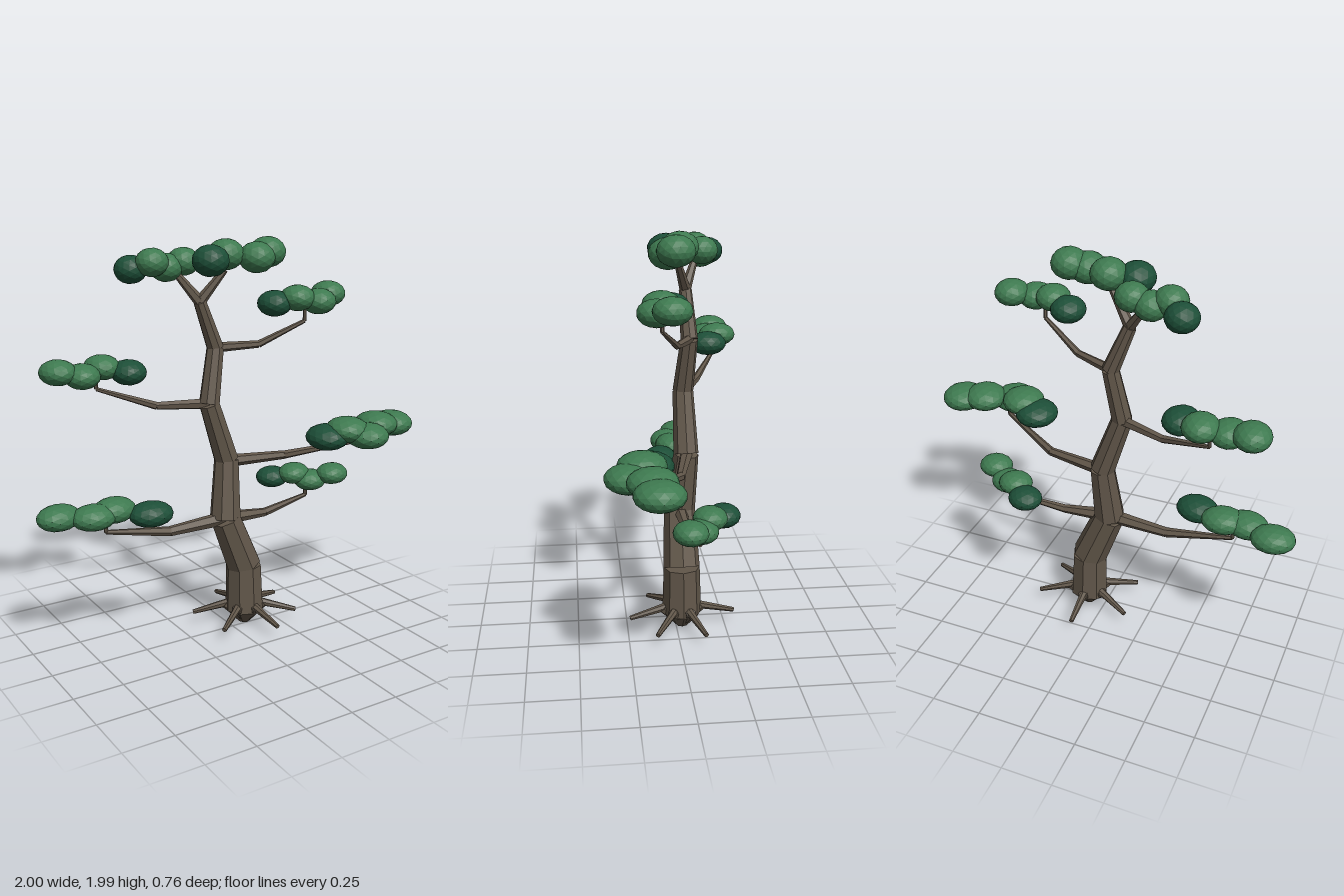
import * as THREE from 'three';

export function createModel() {
  const tree = new THREE.Group();
  tree.name = 'tree';
  const material = (name, color) => {
    const m = new THREE.MeshStandardMaterial({ color, flatShading: true });
    m.name = name;
    return m;
  };
  const bark = material('bark', 0x62574a);
  const leaf = material('leafGreen', 0x3e7a50);
  const darkLeaf = material('darkLeafGreen', 0x1d4f38);
  const up = new THREE.Vector3(0, 1, 0);

  // Tapered cylinder between two points
  function limb(parent, name, a, b, ra, rb, sides) {
    const start = new THREE.Vector3(...a), dir = new THREE.Vector3(...b).sub(start);
    const mesh = new THREE.Mesh(new THREE.CylinderGeometry(rb, ra, dir.length(), sides), bark);
    mesh.position.copy(start).addScaledVector(dir, 0.5);
    mesh.quaternion.setFromUnitVectors(up, dir.normalize());
    mesh.name = name;
    parent.add(mesh);
  }

  // Chain of limbs; each point is [x, y, z, radius]
  function chain(name, pts, sides) {
    const g = new THREE.Group();
    g.name = name;
    for (let i = 0; i < pts.length - 1; i++) {
      const a = pts[i], b = pts[i + 1];
      limb(g, name + 'Segment', a.slice(0, 3), b.slice(0, 3), a[3], b[3], sides);
    }
    tree.add(g);
  }

  // Trunk, bending from side to side
  chain('trunk', [
    [0.09, 0.08, -0.03, 0.1], [0.085, 0.325, -0.03, 0.092], [-0.025, 0.6, -0.03, 0.08],
    [0, 0.9, -0.06, 0.063], [-0.1, 1.2, -0.055, 0.052], [-0.05, 1.47, -0.08, 0.043],
    [-0.14, 1.7, -0.07, 0.032],
  ], 8);
  limb(tree, 'trunkFoot', [0.09, 0.005, -0.03], [0.09, 0.08, -0.03], 0.03, 0.1, 8);

  // Roots rising to a knee, then spreading outward
  for (const deg of [-21, 32, 83, 144, 204, 268]) {
    const c = Math.cos(deg * Math.PI / 180), s = Math.sin(deg * Math.PI / 180);
    const at = (r, y, radius) => [0.09 + c * r, y, -0.03 + s * r, radius];
    chain('root', [at(0.01, 0.02, 0.02), at(0.1, 0.11, 0.027)], 7);
    chain('root', [at(0.07, 0.115, 0.022), at(0.27, 0.068, 0.012)], 7);
  }

  // Branches, each ending in a short twig
  const branches = [
    ['lowerRightBranch', [-0.03, 0.6, -0.03, 0.036], [-0.34, 0.587, -0.04, 0.025], [-0.68, 0.65, -0.04, 0.011], 0.73],
    ['lowerLeftBranch', [-0.02, 0.6, -0.03, 0.036], [0.22, 0.582, -0.04, 0.022], [0.5, 0.62, -0.07, 0.011], 0.7],
    ['middleLeftBranch', [0, 0.89, -0.06, 0.032], [0.31, 0.89, 0, 0.022], [0.63, 0.955, 0.17, 0.011], 1.01],
    ['middleRightBranch', [-0.1, 1.2, -0.06, 0.028], [-0.34, 1.2, -0.15, 0.02], [-0.6, 1.29, -0.275, 0.01], 1.37],
    ['upperLeftBranch', [-0.05, 1.47, -0.08, 0.025], [0.15, 1.48, 0, 0.018], [0.36, 1.59, 0.09, 0.01], 1.69],
  ];
  for (const [name, a, b, c, top] of branches) {
    chain(name, [a, b, c, [c[0], top, c[2], 0.008]], 6);
  }
  chain('topRightFork', [[-0.14, 1.7, -0.07, 0.028], [-0.24, 1.84, -0.13, 0.016]], 6);
  chain('topLeftFork', [[-0.14, 1.7, -0.07, 0.028], [-0.03, 1.85, -0.02, 0.016]], 6);

  // Leaf pads: rows of flattened blobs, the first of each pad dark
  const pads = [
    ['lowerRightLeaves', [0.11, 0.062, 0.09],
      [[-0.475, 0.725, 0.03], [-0.63, 0.75, -0.05], [-0.745, 0.74, -0.03], [-0.89, 0.745, -0.1]]],
    ['lowerLeftLeaves', [0.088, 0.056, 0.082],
      [[0.37, 0.71, -0.195], [0.46, 0.735, -0.12], [0.53, 0.7, -0.07], [0.63, 0.735, -0.01]]],
    ['middleLeftLeaves', [0.11, 0.066, 0.115],
      [[0.465, 1.0, 0.16], [0.56, 1.035, 0.2], [0.64, 1.005, 0.26], [0.77, 1.03, 0.17], [0.89, 1.015, 0.15]]],
    ['middleRightLeaves', [0.088, 0.062, 0.098],
      [[-0.45, 1.365, -0.225], [-0.56, 1.39, -0.29], [-0.68, 1.365, -0.25], [-0.79, 1.39, -0.28]]],
    ['upperLeftLeaves', [0.085, 0.064, 0.09],
      [[0.215, 1.68, 0.04], [0.315, 1.705, 0.09], [0.42, 1.685, 0.12], [0.52, 1.71, 0.06]]],
    ['topRightLeaves', [0.08, 0.068, 0.08],
      [[-0.43, 1.855, -0.215], [-0.355, 1.89, -0.14], [-0.27, 1.86, -0.16], [-0.18, 1.885, -0.155]]],
    ['topLeftLeaves', [0.088, 0.075, 0.092],
      [[-0.135, 1.9, 0.025], [-0.02, 1.92, -0.03], [0.11, 1.905, 0.04], [0.19, 1.925, 0.01]]],
  ];
  const blob = new THREE.IcosahedronGeometry(1, 2);
  for (const [name, size, centres] of pads) {
    const g = new THREE.Group();
    g.name = name;
    centres.forEach((p, i) => {
      const mesh = new THREE.Mesh(blob, i === 0 ? darkLeaf : leaf);
      mesh.name = i === 0 ? 'darkLeafBlob' : 'leafBlob';
      mesh.position.set(...p);
      mesh.scale.set(...size);
      mesh.rotation.y = (i % 2 ? 1 : -1) * 0.15;
      g.add(mesh);
    });
    tree.add(g);
  }
  return tree;
}
